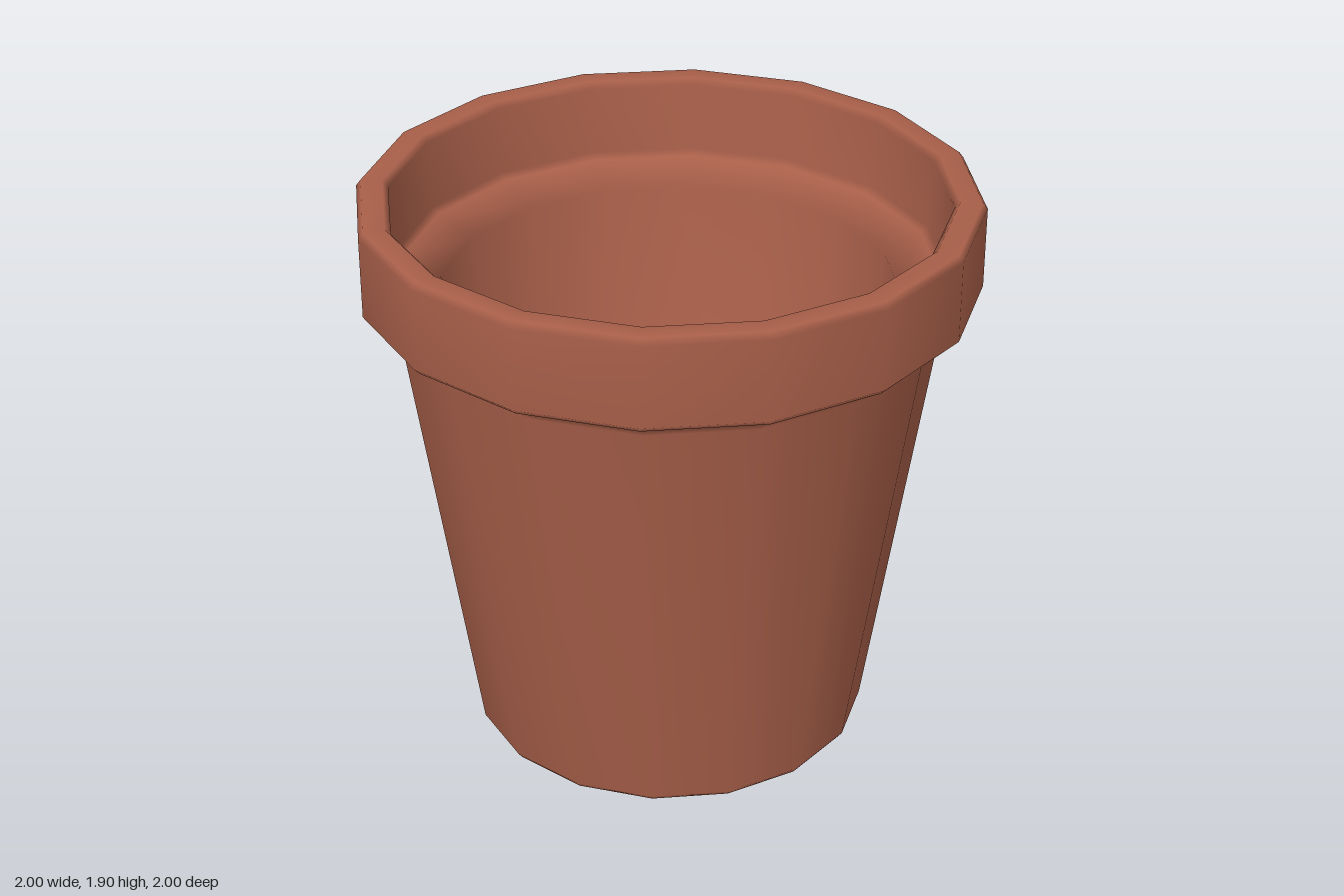
import * as THREE from 'three';
import { mergeVertices } from 'three/addons/utils/BufferGeometryUtils.js';

const SIDES = 16;

// Closed section of the pot: [radius, height], from the base centre round to the floor centre
const PROFILE = [
  [0, 0], [0.645, 0], [0.66, 0.02],        // underside and its small bevel
  [0.885, 1.52], [0.9, 1.55],              // tapered outer wall and neck
  [0.98, 1.59], [1, 1.61],                 // underside of the rim
  [1, 1.88], [0.985, 1.9],                 // outer rim band
  [0.915, 1.9], [0.897, 1.88],             // rim top
  [0.885, 1.65], [0.865, 1.63],            // inside of the rim
  [0.74, 1.57],                            // inner ledge
  [0.59, 0.12], [0, 0.12],                 // inner wall and floor
];

export function createModel() {
  const group = new THREE.Group();
  group.name = 'flowerPot';

  const points = PROFILE.map(([r, y]) => new THREE.Vector2(r, y));
  let geometry = new THREE.LatheGeometry(points, SIDES);

  // Weld the seam and weight the normals by area, so broad faces stay even and bevels stay soft
  geometry.deleteAttribute('normal');
  geometry.deleteAttribute('uv');
  geometry = mergeVertices(geometry, 1e-4);
  geometry.computeVertexNormals();

  const pot = new THREE.Mesh(geometry, new THREE.MeshStandardMaterial({ color: 0xa85f49 }));
  pot.name = 'pot';
  group.add(pot);
  return group;
}
